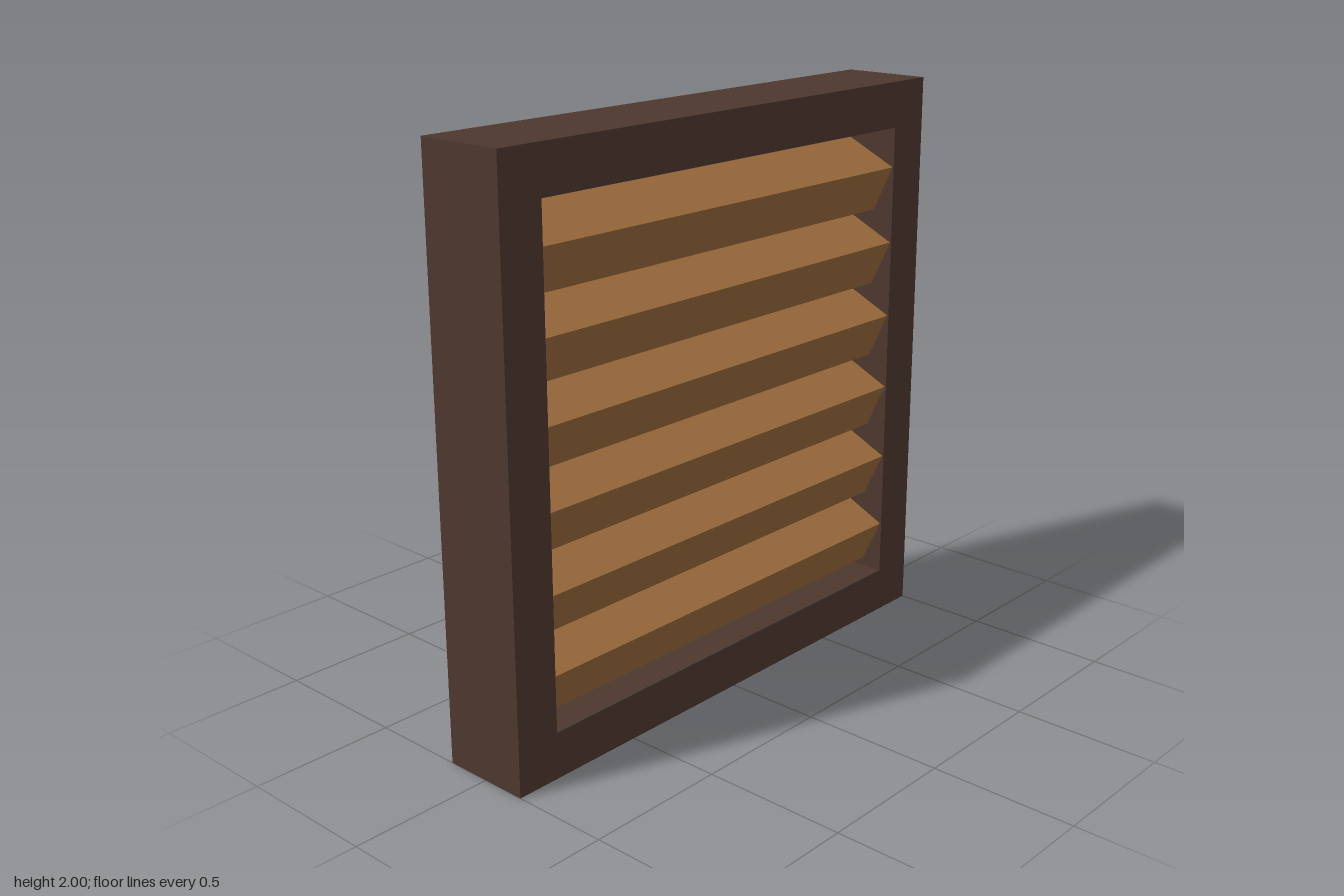
import * as THREE from 'three';

export function createModel() {
  const model = new THREE.Group();
  model.name = 'louveredVent';

  const frameWood = new THREE.MeshStandardMaterial({ color: 0x4e372f });
  frameWood.name = 'darkFrameWood';
  const slatWood = new THREE.MeshStandardMaterial({ color: 0x9c6b3d });
  slatWood.name = 'lightSlatWood';

  // Square frame with a square opening
  const depth = 0.32, inner = 0.84;
  const outline = new THREE.Shape([
    new THREE.Vector2(-1, 0), new THREE.Vector2(1, 0),
    new THREE.Vector2(1, 2), new THREE.Vector2(-1, 2),
  ]);
  outline.holes.push(new THREE.Path([
    new THREE.Vector2(-inner, 1 - inner), new THREE.Vector2(-inner, 1 + inner),
    new THREE.Vector2(inner, 1 + inner), new THREE.Vector2(inner, 1 - inner),
  ]));
  const frameGeometry = new THREE.ExtrudeGeometry(outline, { depth, bevelEnabled: false });
  frameGeometry.translate(0, 0, -depth / 2);
  const frame = new THREE.Mesh(frameGeometry, frameWood);
  frame.name = 'frame';
  model.add(frame);

  // Six thick slats, sloping down towards the front
  const slats = new THREE.Group();
  slats.name = 'slats';
  const slatGeometry = new THREE.BoxGeometry(inner * 2, 0.177, 0.26);
  for (let i = 0; i < 6; i++) {
    const slat = new THREE.Mesh(slatGeometry, slatWood);
    slat.name = `slat${i + 1}`;
    slat.position.y = 0.325 + i * 0.27;
    slat.rotation.x = THREE.MathUtils.degToRad(25);
    slats.add(slat);
  }
  model.add(slats);

  return model;
}
